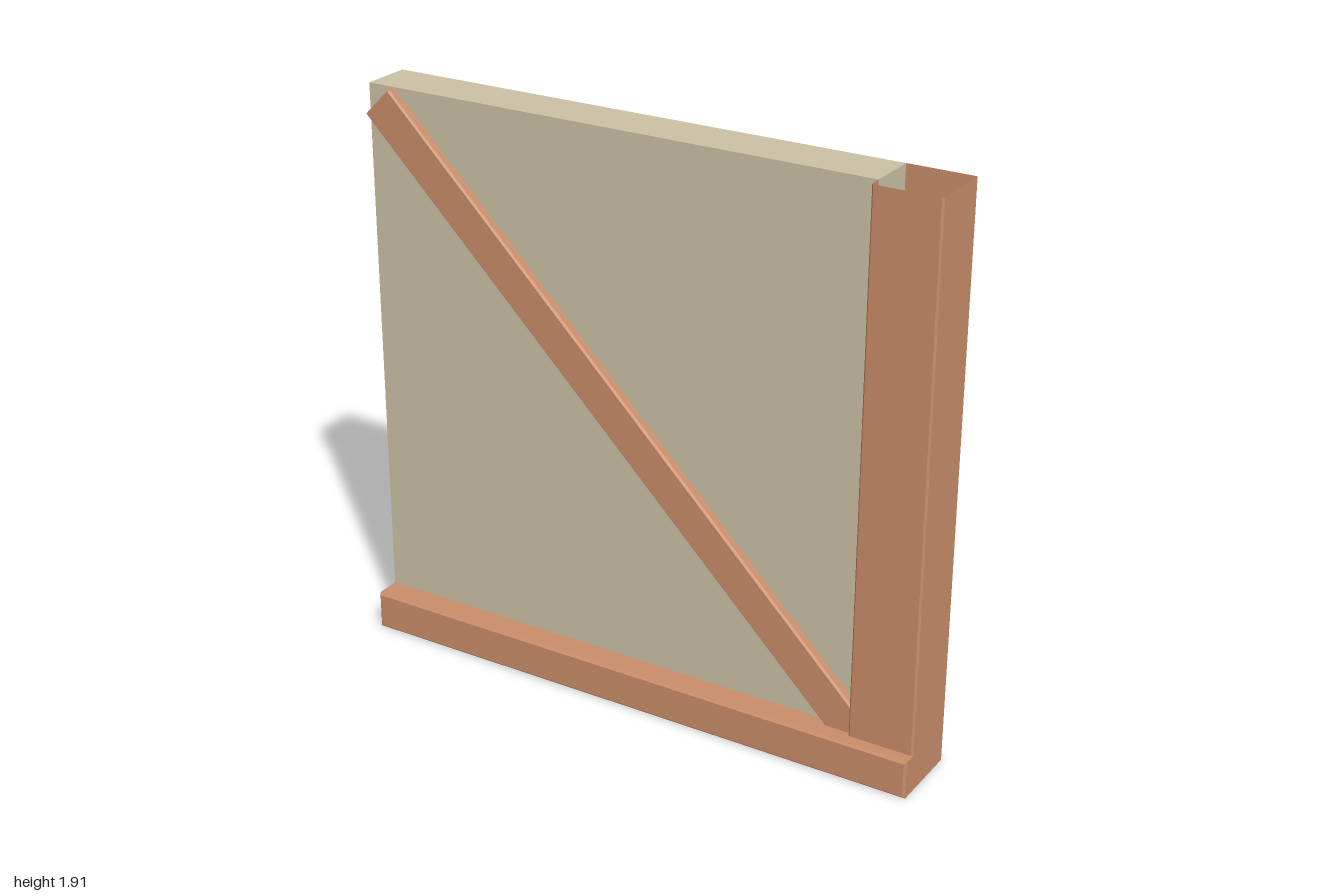
import * as THREE from 'three';

const wood = new THREE.MeshStandardMaterial({ color: 0xca8d6a, side: THREE.DoubleSide, flatShading: true });
const plaster = new THREE.MeshStandardMaterial({ color: 0xcbc1a5, flatShading: true });

// Mesh from flat four-cornered faces
function quadMesh(name, quads, material) {
  const points = quads.flatMap(([a, b, c, d]) => [a, b, c, a, c, d]).flat();
  const geometry = new THREE.BufferGeometry();
  geometry.setAttribute('position', new THREE.Float32BufferAttribute(points, 3));
  geometry.computeVertexNormals();
  const mesh = new THREE.Mesh(geometry, material);
  mesh.name = name;
  return mesh;
}

// Corners of a rectangle at depth z: bottom-left, bottom-right, top-right, top-left
const ring = (x0, x1, y0, y1, z) => [[x0, y0, z], [x1, y0, z], [x1, y1, z], [x0, y1, z]];

// Open-backed shell with a chamfered front; depths = back z of [bottom, right, top, left], null = open
function shell(x0, x1, y0, y1, z1, bx, by, depths) {
  const rim = ring(x0, x1, y0, y1, z1 - Math.max(bx, by));
  const face = ring(x0 + bx, x1 - bx, y0 + by, y1 - by, z1);
  const quads = [face];
  depths.forEach((z, i) => {
    const j = (i + 1) % 4;
    if (i % 2 ? bx : by) quads.push([rim[i], rim[j], face[j], face[i]]);
    if (z === null) return;
    const back = ring(x0, x1, y0, y1, z);
    quads.push([back[i], back[j], rim[j], rim[i]]);
  });
  return quads;
}

export function createModel() {
  const group = new THREE.Group();
  const H = 1.91, beamTop = 0.13, back = -0.13, front = 0.13;
  const postX = 0.78, postZ = 0.086, panelZ = 0.04;

  // Infill panel
  const panel = new THREE.Mesh(
    new THREE.BoxGeometry(postX + 1, H - beamTop, panelZ - back), plaster);
  panel.position.set((postX - 1) / 2, (H + beamTop) / 2, (panelZ + back) / 2);
  panel.name = 'wallPanel';
  group.add(panel);

  // Bottom beam: open at the back, its top left open beneath the post
  const beam = shell(-1, 1, 0, beamTop, front, 0.007, 0.007, [back, back, null, back]);
  const zr = front - 0.007;
  beam.push(
    [[-1, beamTop, zr], [postX, beamTop, zr], [postX, beamTop, panelZ], [-1, beamTop, panelZ]],
    [[postX, beamTop, zr], [1, beamTop, zr], [1, beamTop, postZ], [postX, beamTop, postZ]]);
  group.add(quadMesh('bottomBeam', beam, wood));

  // Hollow corner post, open at top and bottom
  const post = shell(postX, 1, beamTop, H, postZ, 0.006, 0, [null, back, null, panelZ]);
  post.push(ring(postX, 1, beamTop, H, back).reverse());
  group.add(quadMesh('cornerPost', post, wood));

  // Diagonal brace running down into the foot of the post
  const L = 2.517, W = 0.132;
  const brace = shell(-L / 2, L / 2, -W / 2, W / 2, 0.07, 0.006, 0.006, Array(4).fill(panelZ));
  const braceMesh = quadMesh('diagonalBrace', brace, wood);
  braceMesh.position.set(-0.0625, 0.9725, 0);
  braceMesh.rotation.z = -Math.PI / 4;
  group.add(braceMesh);

  return group;
}
